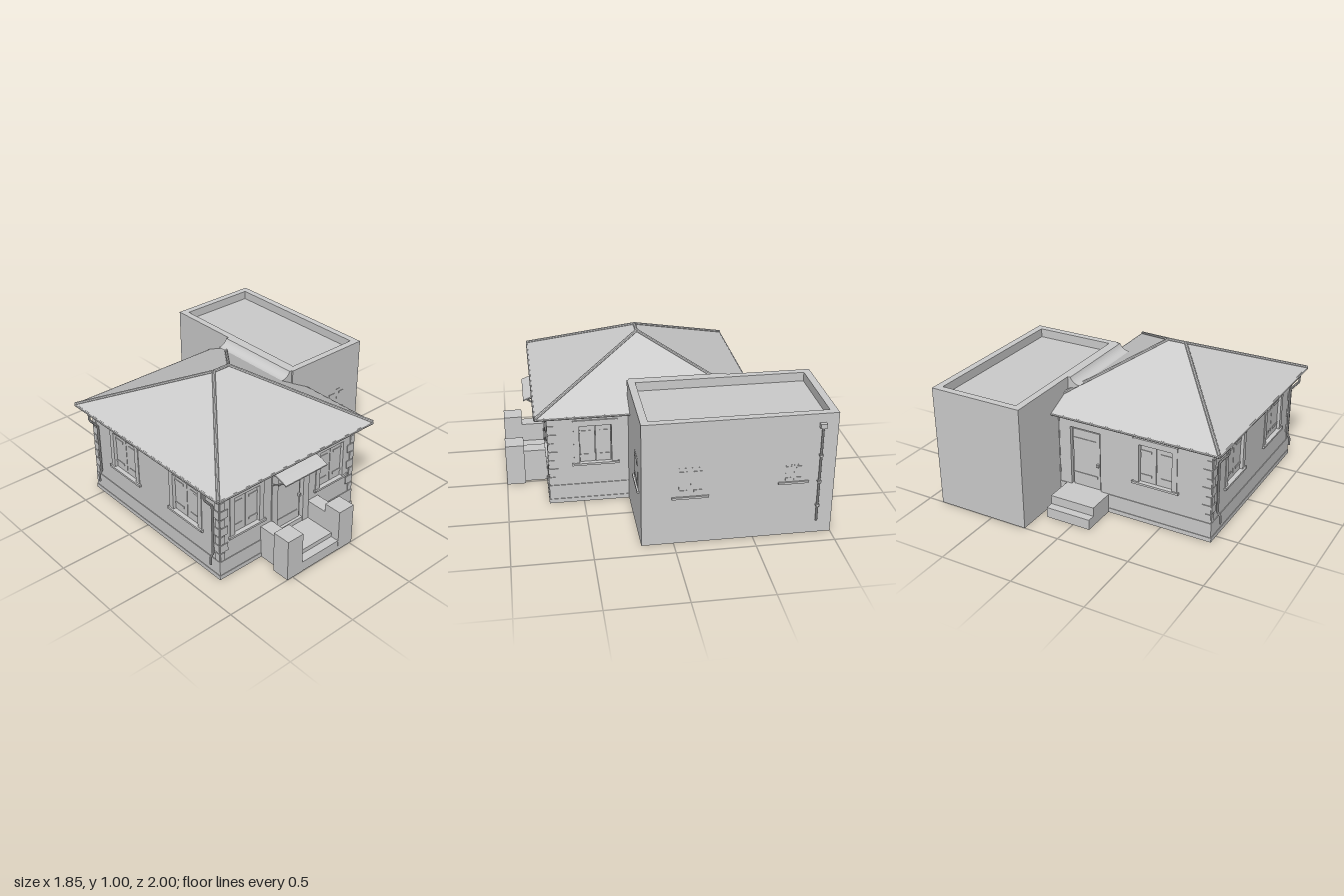
import * as THREE from 'three';

const mat = new THREE.MeshStandardMaterial({ color: 0xcccccc, flatShading: true, side: THREE.DoubleSide });
const V = (x, y, z) => new THREE.Vector3(x, y, z);

function add(parent, name, geo) {
  const m = new THREE.Mesh(geo, mat);
  m.name = name;
  parent.add(m);
  return m;
}

// Box given by its min and max corners
function box(parent, name, x0, x1, y0, y1, z0, z1) {
  const g = new THREE.BoxGeometry(x1 - x0, y1 - y0, z1 - z0);
  g.translate((x0 + x1) / 2, (y0 + y1) / 2, (z0 + z1) / 2);
  return add(parent, name, g);
}

// Pipe with straight runs between the points
function pipe(parent, name, pts, r, sides = 8) {
  const path = new THREE.CurvePath();
  for (let i = 1; i < pts.length; i++) path.add(new THREE.LineCurve3(pts[i - 1], pts[i]));
  return add(parent, name, new THREE.TubeGeometry(path, (pts.length - 1) * 8, r, sides));
}

// Profile in (x, y) extruded along z from z0 to z1
function extrude(parent, name, shape, z0, z1) {
  const g = new THREE.ExtrudeGeometry(shape, { depth: z1 - z0, bevelEnabled: false, curveSegments: 8 });
  return add(parent, name, g.translate(0, 0, z0));
}

function rect(T, x0, x1, y0, y1) {
  return new T([[x0, y0], [x1, y0], [x1, y1], [x0, y1]].map(p => new THREE.Vector2(...p)));
}

// Two closed shutters with strap hinges and a sill; z is the wall face
function shutters(parent, [a, b, y0, y1], z, sillZ) {
  const g = new THREE.Group();
  g.name = 'shutteredWindow';
  parent.add(g);
  const mid = (a + b) / 2, h = y1 - y0, w = b - a;
  box(g, 'leftShutter', a + 0.004, mid - 0.002, y0, y1 - 0.004, z, z + 0.01);
  box(g, 'rightShutter', mid + 0.002, b - 0.004, y0, y1 - 0.004, z, z + 0.01);
  for (const f of [0.18, 0.82]) {
    const y = y0 + h * f;
    box(g, 'strapHinge', a + 0.003, a + w * 0.36, y - 0.008, y + 0.008, z + 0.01, z + 0.014);
    box(g, 'strapHinge', b - w * 0.36, b - 0.003, y - 0.008, y + 0.008, z + 0.01, z + 0.014);
  }
  box(g, 'sill', a - 0.04, b + 0.04, y0 - 0.014, y0, z, sillZ);
}

const T = 0.025; // wall skin thickness

// House wall in its own frame: u along the wall, outer face at z = d
function wall(parent, name, angle, d, u0, u1, windows, doors) {
  const g = new THREE.Group();
  g.name = name;
  g.rotation.y = angle;
  parent.add(g);
  const s = rect(THREE.Shape, u0, u1, 0, 0.65);
  for (const o of [...windows, ...doors]) s.holes.push(rect(THREE.Path, ...o));
  extrude(g, 'wallFace', s, d - T, d);
  for (const w of windows) {
    shutters(g, w, d - T, d + 0.016);
    const [a, b, y0, y1] = w;
    // Raised surround
    const f = rect(THREE.Shape, a - 0.036, b + 0.036, y0, y1 + 0.04);
    f.holes.push(rect(THREE.Path, ...w));
    extrude(g, 'windowSurround', f, d, d + 0.005);
    box(g, 'lintelCap', a - 0.04, b + 0.04, y1 + 0.036, y1 + 0.043, d, d + 0.01);
    for (const u of [a - 0.045, b + 0.045]) box(g, 'shutterCatch', u - 0.004, u + 0.004, y0 - 0.015, y0 + 0.002, d, d + 0.015);
  }
  for (const [a, b, y0, y1] of doors) {
    box(g, 'doorPanel', a + 0.012, b - 0.012, y0, y1 - 0.015, d - T, d - T + 0.01);
    for (const f of [0.2, 0.8]) {
      const y = y0 + (y1 - y0) * f;
      box(g, 'doorStrap', a + 0.015, b - 0.03, y - 0.009, y + 0.009, d - T + 0.01, d - T + 0.014);
    }
    box(g, 'doorHandle', b - 0.03, b - 0.015, 0.3, 0.32, d - T + 0.01, d - T + 0.028);
  }
  // Alternating corner stones at both ends
  for (let i = 0; i < 8; i++) {
    const y = 0.135 + i * 0.062, w = i % 2 ? 0.06 : 0.035;
    box(g, 'cornerStone', u0, u0 + w, y, y + 0.056, d, d + 0.006);
    box(g, 'cornerStone', u1 - w, u1, y, y + 0.056, d, d + 0.006);
  }
  return g;
}

export function createModel() {
  const model = new THREE.Group();
  model.name = 'house';
  const X0 = -0.84, X1 = 0.3, Z0 = -0.57, Z1 = 0.72;

  // House body and plinth
  box(model, 'houseCore', X0 + T, X1 - T, 0, 0.65, Z0 + T, Z1 - T);
  box(model, 'plinth', X0 - 0.005, X1 + 0.005, 0, 0.13, Z0 - 0.005, Z1 + 0.005);
  box(model, 'plinthFoot', X0 - 0.009, X1 + 0.009, 0, 0.03, Z0 - 0.009, Z1 + 0.009);

  const win = (a, b) => [a, b, 0.285, 0.55];
  const front = wall(model, 'frontWall', 0, Z1, X0, X1, [win(-0.725, -0.525), win(-0.005, 0.2)], [[-0.375, -0.155, 0.1, 0.53]]);
  wall(model, 'backWall', Math.PI, -Z0, -X1, -X0, [win(0.34, 0.57)], [[-0.16, 0.06, 0.13, 0.55]]);
  wall(model, 'rightWall', -Math.PI / 2, -X0, Z0, Z1, [win(-0.34, -0.11), win(0.28, 0.52)], []);
  wall(model, 'leftWall', Math.PI / 2, X1, -Z1, -Z0, [win(-0.52, -0.31)], []);

  // Front door surround
  const ds = rect(THREE.Shape, -0.425, -0.105, 0.1, 0.565);
  ds.holes.push(rect(THREE.Path, -0.375, -0.155, 0.1, 0.53));
  extrude(front, 'doorSurround', ds, Z1, Z1 + 0.008);

  // Hipped roof
  const rx0 = -0.915, rx1 = 0.38, rz0 = -0.65, rz1 = 0.8, ey = 0.66, ry = 0.988;
  box(model, 'soffit', rx0 + 0.005, rx1 - 0.005, 0.645, ey, rz0 + 0.005, rz1 - 0.005);
  const corners = [V(rx0, ey, rz1), V(rx1, ey, rz1), V(rx1, ey, rz0), V(rx0, ey, rz0)];
  const ra = V(-0.33, ry, 0.075), rb = V(-0.205, ry, 0.075);
  const [c0, c1, c2, c3] = corners;
  const roof = new THREE.BufferGeometry().setFromPoints([
    c0, c1, rb, c0, rb, ra, c1, c2, rb, c2, c3, ra, c2, ra, rb, c3, c0, ra]);
  roof.computeVertexNormals();
  add(model, 'hippedRoof', roof);
  [[c0, ra], [c1, rb], [c2, rb], [c3, ra], [ra, rb]].forEach(p => pipe(model, 'ridgeCap', p, 0.011));
  // Eaves gutters
  corners.forEach((c, i) => {
    const n = corners[(i + 1) % 4];
    pipe(model, 'gutter', [V(c.x, 0.652, c.z), V(n.x, 0.652, n.z)], 0.009);
  });

  // Downpipes on the right side
  for (const z of [-0.5, 0.67]) {
    pipe(model, 'downpipe', [V(-0.912, 0.65, z), V(-0.912, 0.6, z), V(-0.853, 0.53, z),
      V(-0.853, 0.18, z), V(-0.872, 0.155, z), V(-0.872, 0.1, z)], 0.008);
  }

  // Flat-roofed extension with parapet
  const ax0 = 0.245, ax1 = 0.895, az0 = -1, az1 = 0.2;
  box(model, 'extension', ax0, ax1, 0, 0.77, az0, az1);
  const parapet = rect(THREE.Shape, ax0, ax1, -az1, -az0);
  parapet.holes.push(rect(THREE.Path, ax0 + 0.048, ax1 - 0.048, -az1 + 0.048, -az0 - 0.048));
  extrude(model, 'parapet', parapet, 0.77, 0.83).rotation.x = -Math.PI / 2;
  shutters(model, [0.605, 0.755, 0.33, 0.53], az1 - 0.009, az1 + 0.012);
  const side = new THREE.Group();
  side.name = 'extensionSide';
  side.rotation.y = Math.PI / 2;
  model.add(side);
  shutters(side, [0.025, 0.175, 0.33, 0.53], ax1 - 0.009, ax1 + 0.012);
  shutters(side, [0.685, 0.795, 0.38, 0.5], ax1 - 0.009, ax1 + 0.012);
  pipe(model, 'extensionDownpipe', [V(0.91, 0.095, -0.9), V(0.91, 0.76, -0.9)], 0.008);
  box(model, 'rainHopper', 0.895, 0.923, 0.74, 0.77, -0.92, -0.88);
  for (const y of [0.2, 0.37, 0.55]) box(model, 'pipeBracket', 0.893, 0.921, y, y + 0.01, -0.911, -0.889);

  // Curved flashing joining the roof to the extension
  const fl = new THREE.Shape();
  fl.moveTo(0.25, 0.73);
  fl.lineTo(0.25, 0.83);
  fl.lineTo(0.226, 0.83);
  fl.quadraticCurveTo(0.205, 0.785, 0.155, 0.785);
  extrude(model, 'roofFlashing', fl, -0.45, 0.19);

  // Front steps with cheek walls and piers
  box(model, 'frontLanding', -0.42, -0.105, 0, 0.1, Z1, 0.94);
  box(model, 'frontStep', -0.42, -0.105, 0, 0.07, 0.94, 0.998);
  for (const s of [-1, 1]) {
    const put = (name, a, b, y, z0, z1) => {
      const p = [-0.2625 + s * a, -0.2625 + s * b].sort((m, n) => m - n);
      box(model, name, p[0], p[1], 0, y, z0, z1);
    };
    put('cheekWall', 0.157, 0.248, 0.23, Z1, 0.88);
    put('stepPier', 0.157, 0.282, 0.29, 0.875, 1);
  }

  // Back steps
  box(model, 'backLanding', -0.12, 0.195, 0, 0.13, -0.765, Z0);
  box(model, 'backStep', -0.12, 0.195, 0, 0.07, -0.82, -0.765);

  // Curved awning on braces, with a lamp above
  const aw = new THREE.Shape();
  aw.moveTo(-Z1, 0.61);
  aw.quadraticCurveTo(-0.79, 0.61, -0.86, 0.575);
  aw.lineTo(-0.86, 0.567);
  aw.quadraticCurveTo(-0.79, 0.6, -Z1, 0.6);
  const awning = extrude(model, 'awning', aw, -0.44, -0.09);
  awning.rotation.y = Math.PI / 2;
  awning.scale.z = 1;
  for (const x of [-0.425, -0.105]) {
    pipe(model, 'awningBrace', [V(x, 0.505, 0.725), V(x, 0.575, 0.84)], 0.005, 6);
    pipe(model, 'awningArm', [V(x, 0.595, 0.725), V(x, 0.572, 0.85)], 0.005, 6);
  }
  box(model, 'lampMount', -0.272, -0.255, 0.62, 0.64, Z1, 0.74);
  add(model, 'lamp', new THREE.CylinderGeometry(0.006, 0.013, 0.02, 8).translate(-0.2635, 0.622, 0.742));

  return model;
}
